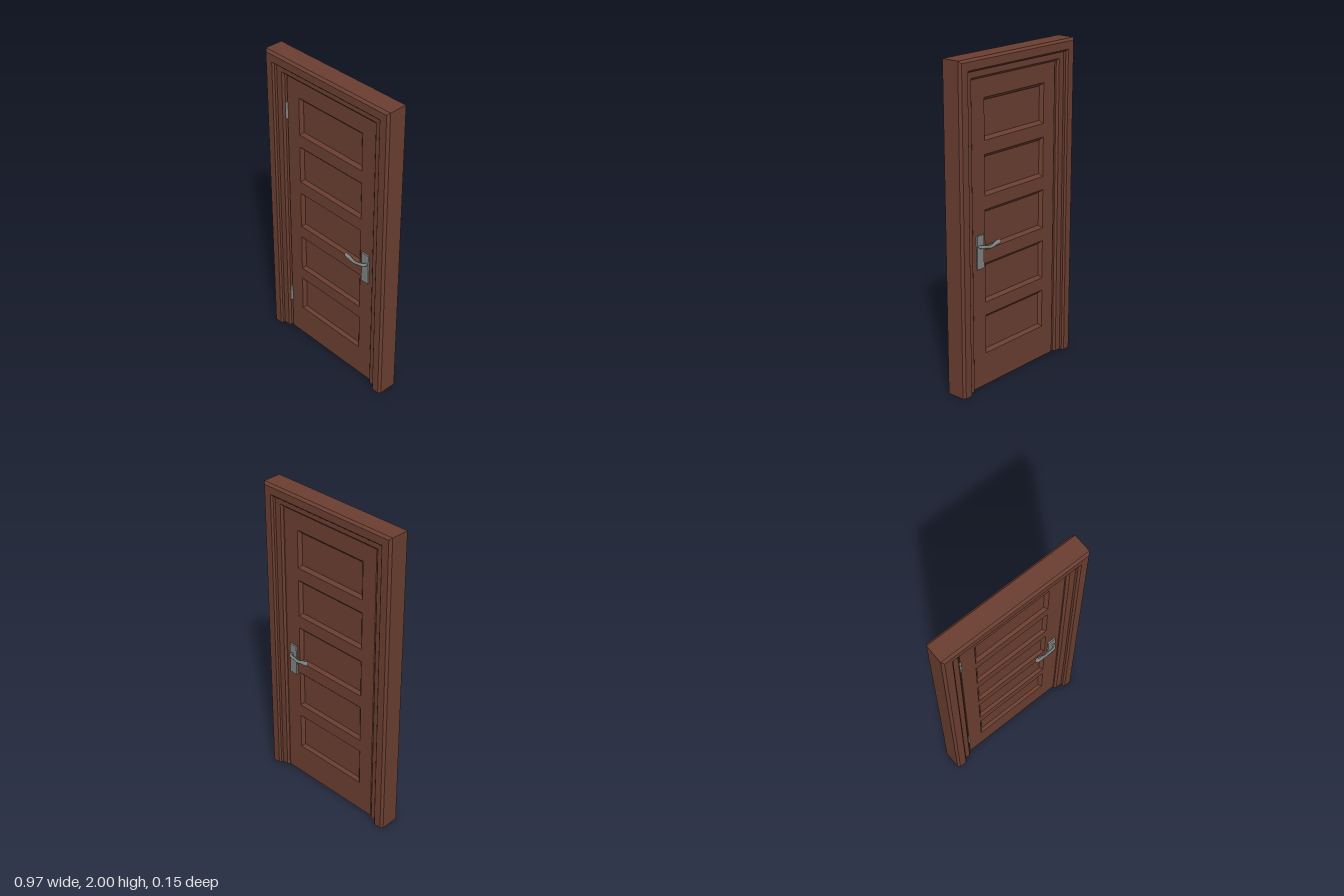
import * as THREE from 'three';

const wood = new THREE.MeshStandardMaterial({ color: 0x6a3e30 });
wood.name = 'brown wood';
const metal = new THREE.MeshStandardMaterial({ color: 0x7d8280 });
metal.name = 'grey metal';

function add(parent, name, geometry, material, x = 0, y = 0, z = 0) {
  const mesh = new THREE.Mesh(geometry, material);
  mesh.name = name;
  mesh.position.set(x, y, z);
  parent.add(mesh);
  return mesh;
}

// Flat-faced geometry from four-cornered faces
function fromQuads(quads) {
  const points = quads.flatMap(([a, b, c, d]) => [a, b, c, a, c, d]);
  const geometry = new THREE.BufferGeometry();
  geometry.setAttribute('position', new THREE.Float32BufferAttribute(points.flat(), 3));
  geometry.computeVertexNormals();
  return geometry;
}

// Stepped, chamfered moulding swept up, across and down with mitred corners
function frameGeometry(halfWidth, height) {
  // inset from the outer edge, half depth
  const front = [
    [0, 0.0575], [0.014, 0.0715], [0.061, 0.0715], [0.072, 0.061],
    [0.072, 0.045], [0.112, 0.045], [0.125, 0.033],
  ];
  const back = front.map(([d, z]) => [d, -z]).reverse();
  const profile = [...front, ...back];
  const at = ([d, z], k) => [
    (k < 2 ? -1 : 1) * (halfWidth - d), k === 0 || k === 3 ? 0 : height - d, z,
  ];
  const quads = [];
  profile.forEach((p, i) => {
    const q = profile[(i + 1) % profile.length];
    for (let k = 0; k < 3; k++) quads.push([at(p, k), at(q, k), at(q, k + 1), at(p, k + 1)]);
  });
  // feet of both legs
  for (let i = 0; i < front.length - 1; i++) {
    const p = front[i], q = front[i + 1];
    if (p[0] === q[0]) continue;
    const pb = [p[0], -p[1]], qb = [q[0], -q[1]];
    quads.push([at(p, 0), at(pb, 0), at(qb, 0), at(q, 0)]);
    quads.push([at(p, 3), at(q, 3), at(qb, 3), at(pb, 3)]);
  }
  return fromQuads(quads);
}

// Sunken panel with a sloping border
function panelGeometry(w, h, bevel, zOuter, zInner) {
  const ring = (x, y, z) => [[-x, -y, z], [x, -y, z], [x, y, z], [-x, y, z]];
  const outer = ring(w / 2, h / 2, zOuter);
  const inner = ring(w / 2 - bevel, h / 2 - bevel, zInner);
  const quads = [inner];
  for (let i = 0; i < 4; i++) {
    const j = (i + 1) % 4;
    quads.push([outer[i], outer[j], inner[j], inner[i]]);
  }
  return fromQuads(quads);
}

// Wavy lever that swells towards its tip; side is +1 for front, -1 for back
function addHandle(parent, side, face) {
  const handle = new THREE.Group();
  handle.name = side > 0 ? 'frontHandle' : 'backHandle';
  parent.add(handle);
  add(handle, 'handlePlate', new THREE.BoxGeometry(0.055, 0.205, 0.012), metal,
    0.303, 0.863, side * (face + 0.004));
  const path = new THREE.CatmullRomCurve3([
    [0.31, 0.898, 0], [0.31, 0.898, 0.022], [0.296, 0.899, 0.032], [0.265, 0.891, 0.032],
    [0.235, 0.887, 0.033], [0.205, 0.895, 0.0315], [0.173, 0.9, 0.0305],
  ].map(([x, y, z]) => new THREE.Vector3(x, y, side * (face + z))));
  const steps = 28, sides = 12, radius = 0.01;
  const lever = new THREE.TubeGeometry(path, steps, radius, sides);
  const position = lever.attributes.position, v = new THREE.Vector3();
  for (let i = 0; i <= steps; i++) {
    const u = i / steps, centre = path.getPointAt(u);
    const swell = 1 + 0.4 * THREE.MathUtils.smoothstep(u, 0.6, 0.95);
    for (let j = 0; j <= sides; j++) {
      const n = i * (sides + 1) + j;
      v.fromBufferAttribute(position, n).sub(centre).multiplyScalar(swell).add(centre);
      position.setXYZ(n, v.x, v.y, v.z);
    }
  }
  lever.computeVertexNormals();
  add(handle, 'lever', lever, metal);
  const tip = path.getPointAt(1);
  add(handle, 'leverTip', new THREE.SphereGeometry(radius * 1.4, 12, 8), metal, tip.x, tip.y, tip.z);
}

export function createModel() {
  const model = new THREE.Group();
  model.name = 'panelDoor';

  add(model, 'doorFrame', frameGeometry(0.487, 2), wood, 0, 0, 0.001);

  const door = new THREE.Group();
  door.name = 'door';
  door.position.z = -0.001;
  model.add(door);

  // Door slab with five openings
  const left = -0.353, right = 0.362, top = 1.875, face = 0.027;
  const panelW = 0.51, panelH = 0.245;
  const centres = [0, 1, 2, 3, 4].map((i) => 0.33 + i * 0.327);
  const rect = (T, x0, y0, x1, y1) => new T([
    new THREE.Vector2(x0, y0), new THREE.Vector2(x1, y0),
    new THREE.Vector2(x1, y1), new THREE.Vector2(x0, y1),
  ]);
  const outline = rect(THREE.Shape, left, 0, right, top);
  for (const y of centres) {
    outline.holes.push(rect(THREE.Path, -panelW / 2, y - panelH / 2, panelW / 2, y + panelH / 2));
  }
  add(door, 'doorSlab', new THREE.ExtrudeGeometry(outline, { depth: face * 2, bevelEnabled: false }),
    wood, 0, 0, -face);

  // Sunken panels on both faces
  const panel = panelGeometry(panelW, panelH, 0.019, face, 0.009);
  for (const y of centres) {
    add(door, 'frontPanel', panel, wood, 0, y, 0);
    add(door, 'backPanel', panel, wood, 0, y, 0).rotation.y = Math.PI;
  }

  // Handles on both faces
  addHandle(door, 1, face);
  addHandle(door, -1, face);

  // Hinge barrels
  for (const y of [0.275, 1.638]) {
    add(door, 'hinge', new THREE.CylinderGeometry(0.009, 0.009, 0.11, 12), metal, -0.357, y, face + 0.002);
  }
  return model;
}
